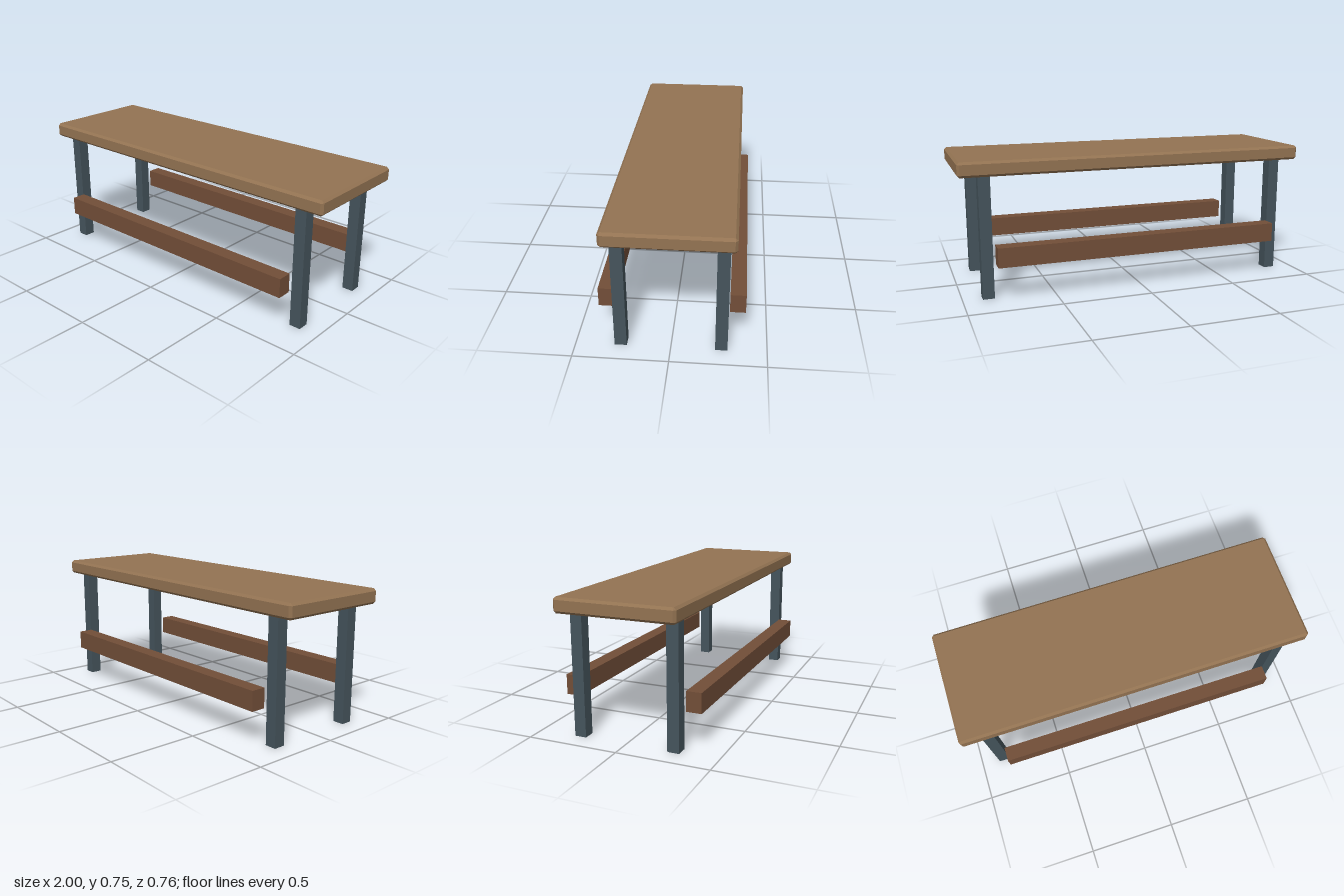
import * as THREE from 'three';
import { ConvexGeometry } from 'three/addons/geometries/ConvexGeometry.js';

const topWood = new THREE.MeshStandardMaterial({ color: 0x937352 });
topWood.name = 'light wood';
const railWood = new THREE.MeshStandardMaterial({ color: 0x724e38 });
railWood.name = 'dark wood';
const steel = new THREE.MeshStandardMaterial({ color: 0x45545c });
steel.name = 'slate steel';

// Box with every edge and corner cut flat by c
function chamferedBox(w, h, d, c) {
  const points = [];
  for (const x of [-1, 1]) for (const y of [-1, 1]) for (const z of [-1, 1]) {
    for (let axis = 0; axis < 3; axis++) {
      const half = [w / 2, h / 2, d / 2].map((s, i) => (i === axis ? s : s - c));
      points.push(new THREE.Vector3(x * half[0], y * half[1], z * half[2]));
    }
  }
  return new ConvexGeometry(points);
}

export function createModel() {
  const model = new THREE.Group();
  model.name = 'bench';

  const add = (name, geometry, material, x, y, z) => {
    const mesh = new THREE.Mesh(geometry, material);
    mesh.name = name;
    mesh.position.set(x, y, z);
    model.add(mesh);
  };

  // Bevelled top slab
  add('top', chamferedBox(2, 0.082, 0.654, 0.013), topWood, 0, 0.711, 0);

  // Four square legs
  const leg = new THREE.BoxGeometry(0.064, 0.67, 0.064);
  // Long side rails, just outside the legs
  const rail = new THREE.BoxGeometry(1.636, 0.108, 0.082);
  for (const [end, z] of [['front', 1], ['back', -1]]) {
    add(end + 'LeftLeg', leg, steel, 0.862, 0.335, z * 0.263);
    add(end + 'RightLeg', leg, steel, -0.862, 0.335, z * 0.263);
    add(end + 'Rail', rail, railWood, 0, 0.247, z * 0.341);
  }
  return model;
}
